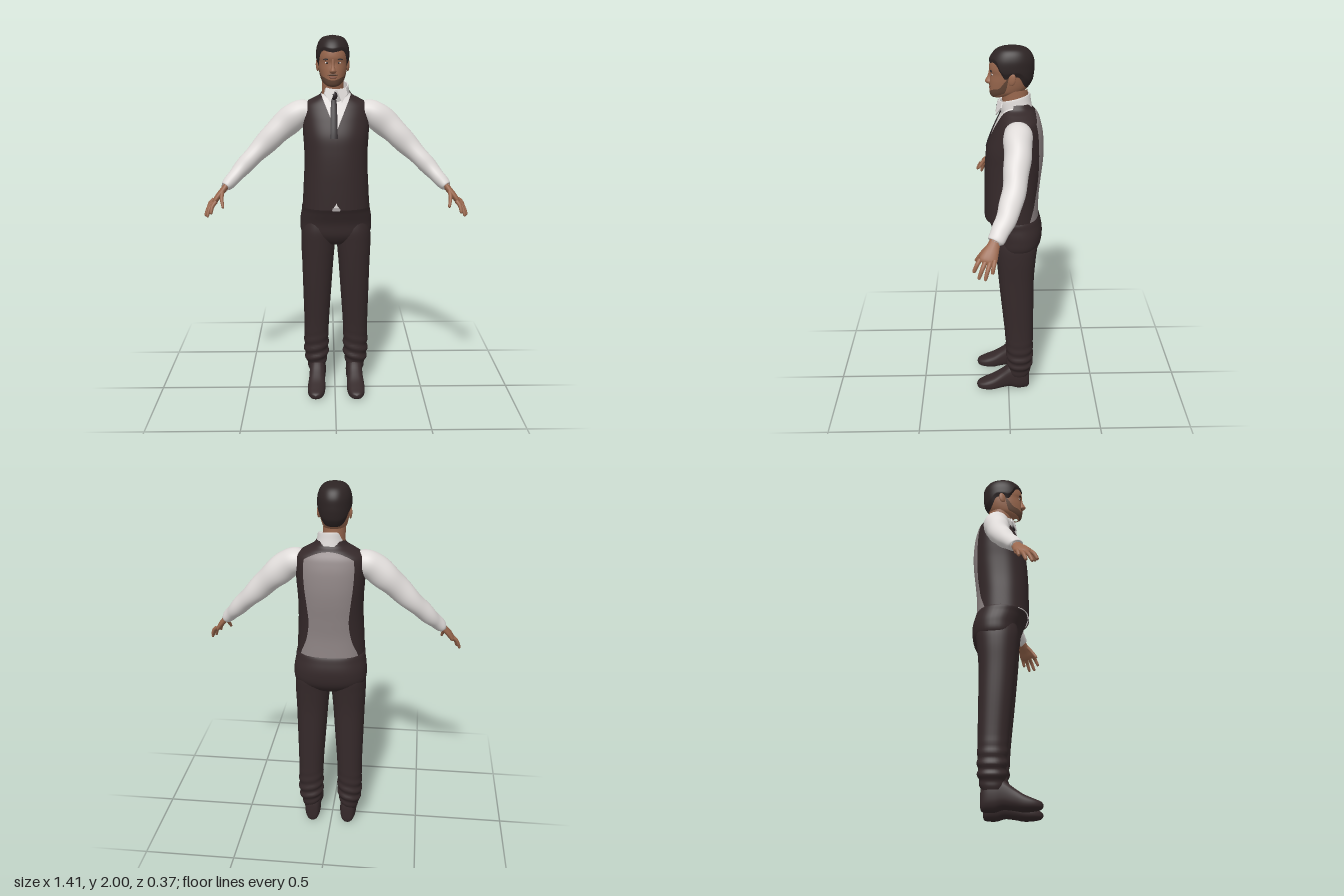
import * as THREE from 'three';
import { mergeVertices } from 'three/addons/utils/BufferGeometryUtils.js';

const paint = (name, color) => Object.assign(new THREE.MeshStandardMaterial({ color }), { name });

// Smooth interpolation through a list of number rows, t in 0..1
function spline(rows) {
  const n = rows.length - 1;
  return (t) => {
    const p = Math.min(Math.max(t, 0), 1) * n, i = Math.min(Math.floor(p), n - 1), f = p - i;
    const [a, b, c, d] = [-1, 0, 1, 2].map((k) => rows[Math.min(Math.max(i + k, 0), n)]);
    return b.map((_, j) => b[j] + 0.5 * f * (c[j] - a[j] + f * (2 * a[j] - 5 * b[j] + 4 * c[j] - d[j]
      + f * (3 * (b[j] - c[j]) + d[j] - a[j]))));
  };
}

// Smooth surface from a rule fn(u, v) -> [x, y, z]
function grid(fn, nu, nv) {
  const pos = [], idx = [];
  for (let j = 0; j <= nv; j++) for (let i = 0; i <= nu; i++) pos.push(...fn(i / nu, j / nv));
  for (let j = 0; j < nv; j++) for (let i = 0; i < nu; i++) {
    const a = j * (nu + 1) + i, c = a + nu + 1;
    idx.push(a, a + 1, c + 1, a, c + 1, c);
  }
  let g = new THREE.BufferGeometry();
  g.setAttribute('position', new THREE.Float32BufferAttribute(pos, 3));
  g.setIndex(idx);
  g = mergeVertices(g, 1e-5);
  g.computeVertexNormals();
  return g;
}

// Copy reflected across x = 0
function mirrored(geo) {
  const g = geo.clone().scale(-1, 1, 1), ix = g.index.array;
  for (let i = 0; i < ix.length; i += 3) [ix[i], ix[i + 1]] = [ix[i + 1], ix[i]];
  g.computeVertexNormals();
  return g;
}

const pow = (v, e) => Math.sign(v) * Math.abs(v) ** e;
// Point on a horizontal section [y, half width, back z, front z]; angle 0 faces front
function around([y, rx, zb, zf], a, e = 0.85, o = 0) {
  return [(rx + o) * pow(Math.sin(a), e), y, (zb + zf) / 2 + ((zf - zb) / 2 + o) * pow(Math.cos(a), e)];
}
const column = (rows, e, nu = 40, nv = 40) => {
  const s = spline(rows);
  return grid((u, v) => around(s(v), u * Math.PI * 2, e), nu, nv);
};

// Tube along rows of [x, y, z, thickness, breadth]
function limb(rows, nu = 20, nv = 24, ripple = 0) {
  const s = spline(rows), at = (t) => new THREE.Vector3(...s(t));
  return grid((u, v) => {
    const c = at(v), r = s(v), a = u * Math.PI * 2;
    const t = at(Math.min(v + 0.01, 1)).sub(at(Math.max(v - 0.01, 0))).normalize();
    const w = new THREE.Vector3(0, 0, 1).addScaledVector(t, -t.z).normalize();
    const n = w.clone().cross(t), k = 1 + ripple * Math.sin(v * 34 + 2 * Math.sin(a)) * Math.sin(v * Math.PI);
    return c.addScaledVector(n, r[3] * k * Math.cos(a)).addScaledVector(w, r[4] * k * Math.sin(a)).toArray();
  }, nu, nv);
}

export function createModel() {
  const cloth = paint('dark cloth', 0x35292a), white = paint('white shirt', 0xdfdbd9);
  const grey = paint('grey back panel', 0x8f8585), skin = paint('skin', 0x9a684e);
  const hairMat = paint('dark hair', 0x2d2424), stubble = paint('stubble', 0x634636);
  const tieMat = paint('tie', 0x2b2427), lip = paint('lips', 0x7c4a3c), metal = paint('buckle', 0xa8a2a2);
  [cloth, grey, white, hairMat, tieMat].forEach((m) => { m.side = THREE.DoubleSide; });

  const model = new THREE.Group();
  const add = (parent, name, geo, mat) => {
    const m = new THREE.Mesh(geo, mat);
    m.name = name;
    parent.add(m);
    return m;
  };
  const pair = (parent, name, geo, mat) => {
    add(parent, 'left' + name, geo, mat);
    add(parent, 'right' + name, mirrored(geo), mat);
  };
  const blob = (x, y, z, sx, sy, sz, rz = 0) =>
    new THREE.SphereGeometry(1, 20, 14).scale(sx, sy, sz).rotateZ(rz).translate(x, y, z);

  const body = new THREE.Group();
  body.name = 'body';
  body.position.x = 0.006;
  model.add(body);

  // Torso sections shared by the waistcoat, shirt and tie
  const torso = spline([
    [1.09, 0.183, -0.163, 0.128], [1.2, 0.177, -0.163, 0.128], [1.3, 0.172, -0.172, 0.127],
    [1.4, 0.172, -0.183, 0.122], [1.48, 0.177, -0.186, 0.112], [1.56, 0.181, -0.18, 0.084],
    [1.615, 0.18, -0.168, 0.06], [1.645, 0.166, -0.157, 0.046], [1.67, 0.125, -0.14, 0.036],
    [1.69, 0.088, -0.122, 0.03], [1.715, 0.07, -0.112, 0.024]]);
  const E = 0.82;
  const angleAt = (x, rx) => Math.asin(Math.min(Math.abs(x) / rx, 0.98) ** (1 / E));
  // Neck opening and small hem notch at the front
  const frontEdge = ([y, rx]) => angleAt(y > 1.505 ? 0.42 * (y - 1.505) : Math.max(0, 1.125 - y) * 0.7, rx);
  const panelWidth = spline([[0.155], [0.12], [0.105], [0.113], [0.125], [0.13], [0.12]]);
  const backEdge = ([y, rx]) => Math.PI - angleAt(panelWidth((y - 1.09) / 0.6)[0]
    * Math.sqrt(Math.min(Math.max((1.672 - y) / 0.04, 0), 1)), rx);
  const patch = (from, to, nu, o = 0, t0 = 0, t1 = 1) => grid((u, v) => {
    const r = torso(t0 + (t1 - t0) * v), a = from(r), b = to(r);
    return around(r, a + (b - a) * u, E, o);
  }, nu, 90);
  pair(body, 'Waistcoat', patch(frontEdge, backEdge, 32), cloth);
  add(body, 'waistcoatBack', patch(backEdge, (r) => 2 * Math.PI - backEdge(r), 28), grey);
  add(body, 'shirtFront', patch(() => -Math.PI, () => Math.PI, 48, -0.006), white);

  // Collar, tie and buckle
  const collar = spline([[1.675, 0.078, -0.122, 0.035], [1.71, 0.071, -0.116, 0.044], [1.742, 0.066, -0.112, 0.048],
    [1.742, 0.06, -0.106, 0.042]]);
  add(body, 'collar', grid((u, v) => {
    const p = around(collar(v), u * Math.PI * 2, 0.95);
    p[1] -= 0.02 * Math.cos(u * Math.PI * 2);
    return p;
  }, 36, 12), white);
  const wing = new THREE.Shape([[0.004, 1.725], [0.03, 1.655], [0.06, 1.7], [0.052, 1.728]]
    .map(([x, y]) => new THREE.Vector2(x, y)));
  const wingGeo = mergeVertices(new THREE.ExtrudeGeometry(wing, { depth: 0.006, bevelEnabled: false }));
  const wp = wingGeo.attributes.position;
  for (let i = 0; i < wp.count; i++) wp.setZ(i, wp.getZ(i) + 0.05 - wp.getX(i) * 0.4 + (1.725 - wp.getY(i)) * 0.3);
  wingGeo.computeVertexNormals();
  pair(body, 'CollarWing', wingGeo, white);
  add(body, 'tie', grid((u, v) => {
    const r = torso(0.39 + 0.56 * v), p = around(r, 0, E, 0.007 - 0.004 * (2 * u - 1) ** 2);
    return [-0.012 + (2 * u - 1) * (0.02 - 0.008 * v), p[1], p[2]];
  }, 8, 24).translate(0, 0, -0.003), tieMat);
  add(body, 'tieKnot', blob(-0.01, 1.69, 0.046, 0.017, 0.022, 0.014), tieMat);
  add(body, 'beltBuckle', new THREE.BoxGeometry(0.04, 0.018, 0.008).translate(0, 1.094, 0.124), metal);

  // Trousers
  add(body, 'trouserSeat', column([
    [0.865, 0.01, -0.06, 0.0], [0.88, 0.11, -0.125, 0.04], [0.93, 0.188, -0.172, 0.072],
    [1.0, 0.197, -0.185, 0.082], [1.06, 0.189, -0.176, 0.103], [1.105, 0.176, -0.156, 0.117],
    [1.108, 0.1, -0.1, 0.06]], 0.85, 48, 36), cloth);
  const legRows = spline([
    [0.1, 0.045, -0.115, -0.01], [0.14, 0.055, -0.128, 0.0], [0.19, 0.067, -0.137, 0.008],
    [0.28, 0.07, -0.14, 0.014], [0.4, 0.071, -0.14, 0.022], [0.6, 0.08, -0.14, 0.042],
    [0.75, 0.087, -0.141, 0.056], [0.87, 0.094, -0.15, 0.066], [0.95, 0.093, -0.158, 0.07], [1.02, 0.08, -0.15, 0.06]]);
  pair(body, 'TrouserLeg', grid((u, v) => {
    const r = legRows(v), a = u * Math.PI * 2;
    const fold = 0.005 * Math.exp(-(((r[0] - 0.21) / 0.09) ** 2)) * Math.sin(r[0] * 110 + 2 * Math.sin(a));
    const p = around(r, a, 0.88, fold);
    p[0] += 0.113 - 0.014 * Math.max(0, (r[0] - 0.3) / 0.6);
    return p;
  }, 36, 80), cloth);

  // Shoes, sections [z, bottom, top, half width]
  const shoe = spline([
    [-0.123, 0.05, 0.06, 0], [-0.118, 0.008, 0.13, 0.03], [-0.09, 0, 0.16, 0.044], [-0.05, 0, 0.17, 0.047],
    [-0.01, 0.012, 0.16, 0.045], [0.04, 0.008, 0.12, 0.046], [0.09, 0, 0.085, 0.05],
    [0.14, 0.003, 0.062, 0.045], [0.175, 0.01, 0.047, 0.028], [0.187, 0.025, 0.033, 0]]);
  pair(body, 'Shoe', grid((u, v) => {
    const [z, y0, y1, w] = shoe(v), a = u * Math.PI * 2;
    return [0.104 + 0.04 * (z + 0.1) + Math.max(w, 0) * pow(Math.cos(a), 0.8),
      Math.max(0, (y0 + y1) / 2 + (y1 - y0) / 2 * pow(Math.sin(a), 0.75)), z];
  }, 28, 40), cloth);

  // Sleeves and hands
  pair(body, 'Sleeve', limb([
    [0.14, 1.6, -0.045, 0.055, 0.066], [0.2, 1.587, -0.045, 0.072, 0.073], [0.29, 1.517, -0.04, 0.072, 0.068],
    [0.39, 1.42, -0.025, 0.058, 0.06], [0.485, 1.325, 0.005, 0.047, 0.055], [0.55, 1.255, 0.045, 0.038, 0.046],
    [0.588, 1.215, 0.072, 0.03, 0.04], [0.592, 1.211, 0.075, 0.015, 0.02]], 28, 70, 0.04), white);
  const hand = [
    ['Palm', [[0.575, 1.235, 0.066, 0.018, 0.026], [0.6, 1.2, 0.08, 0.017, 0.03], [0.627, 1.168, 0.097, 0.016, 0.04],
      [0.648, 1.138, 0.11, 0.013, 0.043], [0.656, 1.125, 0.115, 0.002, 0.02]]],
    ...[[[0.637, 1.145, 0.146], [0.66, 1.09, 0.176]], [[0.65, 1.135, 0.122], [0.683, 1.068, 0.152]],
      [[0.656, 1.135, 0.099], [0.697, 1.068, 0.122]], [[0.654, 1.145, 0.077], [0.688, 1.096, 0.088]],
      [[0.605, 1.19, 0.11], [0.598, 1.12, 0.165]]].map(([a, b], i) => {
      const mid = a.map((c, k) => (c + b[k]) / 2 + (k < 2 ? 0.005 : 0));
      const end = b.map((c, k) => c + (b[k] - a[k]) * 0.06);
      return [i < 4 ? 'Finger' + (i + 1) : 'Thumb',
        [[...a, 0.011, 0.012], [...mid, 0.01, 0.0105], [...b, 0.007, 0.008], [...end, 0.0005, 0.0005]]];
    })];
  hand.forEach(([name, rows]) => pair(body, name, limb(rows, 14, 16), skin));

  // Head
  const head = new THREE.Group();
  head.name = 'head';
  head.position.x = -0.011;
  model.add(head);
  add(head, 'neck', column([[1.66, 0.06, -0.1, 0.02], [1.72, 0.058, -0.102, 0.03], [1.78, 0.058, -0.1, 0.04]], 1, 28, 8), skin);
  const skull = spline([
    [1.737, 0.012, 0.045, 0.07], [1.745, 0.036, 0.0, 0.086], [1.765, 0.055, -0.07, 0.093], [1.79, 0.065, -0.1, 0.094],
    [1.825, 0.073, -0.116, 0.093], [1.86, 0.077, -0.123, 0.09], [1.89, 0.079, -0.125, 0.096],
    [1.93, 0.077, -0.123, 0.089], [1.965, 0.064, -0.105, 0.066], [1.985, 0.042, -0.075, 0.035], [1.993, 0, -0.02, -0.02]]);
  add(head, 'face', grid((u, v) => around(skull(v), u * Math.PI * 2, 0.92), 48, 50), skin);
  // Hairline height by angle from front to back, in section steps
  const hairline = spline([6.6, 6.7, 6.8, 6.3, 4.6, 4.8, 4.8, 3.8, 3.2, 3, 3].map((h) => [h]));
  add(head, 'hair', grid((u, v) => {
    const a = (u * 2 - 1) * Math.PI, h = hairline(Math.abs(a) / Math.PI)[0] / 10, t = h + (1 - h) * v;
    const o = 0.008 * Math.min(1, v * 7), p = around(skull(t), a, 0.92, o * (1 - v ** 6));
    p[1] += 0.007 * v;
    return p;
  }, 80, 40), hairMat);
  // Beard follows the jaw up to the sideburns
  const beardTop = spline([[2.3], [2.5], [2.9], [3.2], [4.7]]);
  add(head, 'beard', grid((u, v) => {
    const a = (u * 2 - 1) * 1.45, top = beardTop(Math.abs(u * 2 - 1))[0], low = 0.3 + 1.9 * (u * 2 - 1) ** 2;
    return around(skull((low + (top - low) * v) / 10), a, 0.92, 0.0015);
  }, 40, 16), stubble);
  add(head, 'moustache', blob(0, 1.8, 0.091, 0.028, 0.005, 0.006), stubble);
  add(head, 'mouth', blob(0, 1.787, 0.092, 0.021, 0.005, 0.006), lip);
  add(head, 'nose', column([[1.804, 0.004, 0.07, 0.095], [1.81, 0.015, 0.07, 0.108], [1.82, 0.017, 0.07, 0.117],
    [1.832, 0.012, 0.07, 0.113], [1.85, 0.008, 0.07, 0.103], [1.88, 0.008, 0.07, 0.096]], 1, 20, 20), skin);
  pair(head, 'EyeWhite', blob(0.03, 1.861, 0.079, 0.012, 0.005, 0.006), white);
  pair(head, 'Iris', blob(0.03, 1.861, 0.083, 0.005, 0.005, 0.004), hairMat);
  pair(head, 'Eyebrow', blob(0.032, 1.879, 0.085, 0.019, 0.0045, 0.006, -0.08), hairMat);
  pair(head, 'Ear', blob(0, 0, 0, 0.008, 0.032, 0.019).rotateX(-0.15).rotateY(-0.3).translate(0.08, 1.845, -0.018), skin);
  return model;
}
